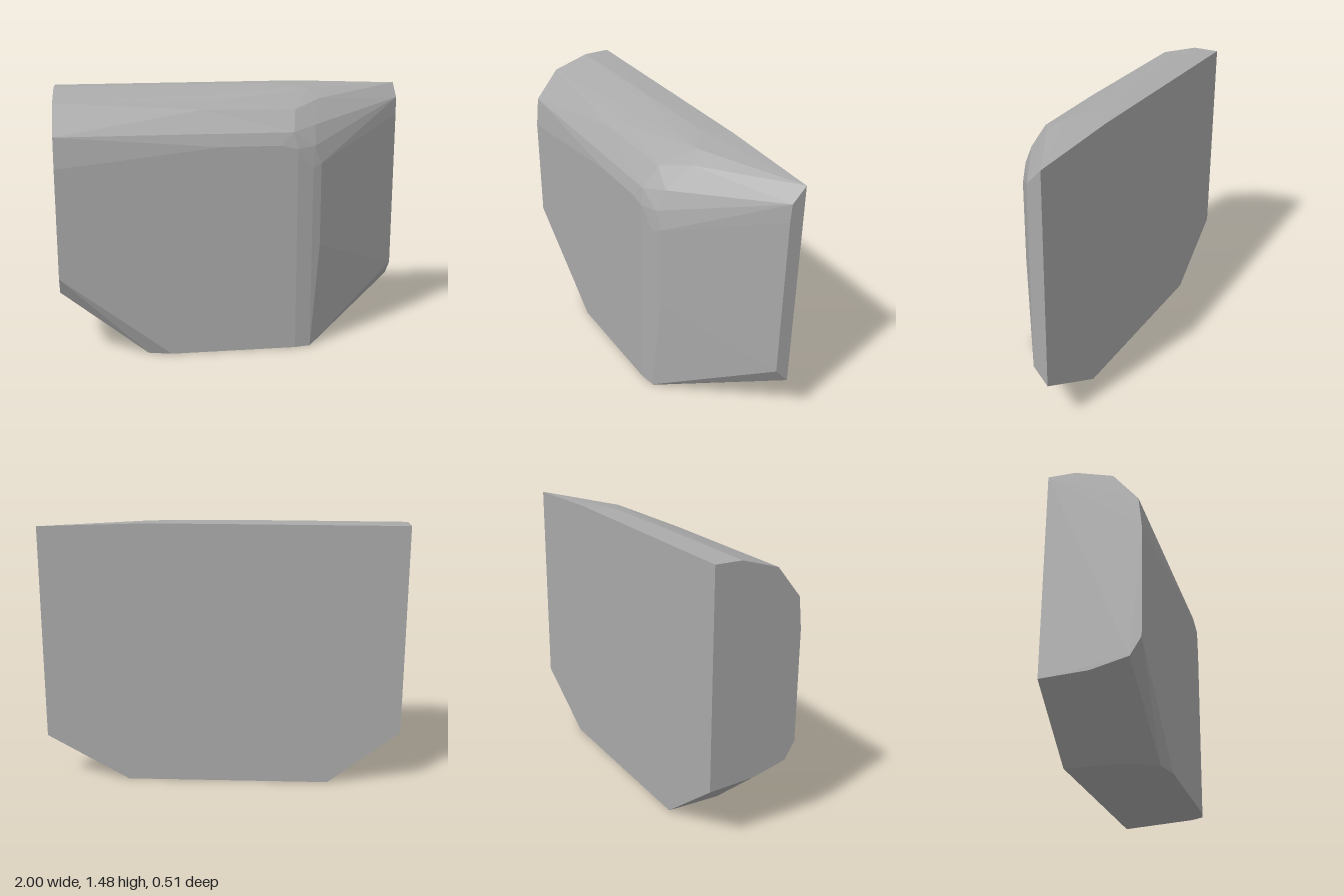
import * as THREE from 'three';
import { ConvexGeometry } from 'three/addons/geometries/ConvexGeometry.js';

const BACK = -0.255;
const FRONT = 0.253;

export function createModel() {
  const stone = new THREE.MeshStandardMaterial({ color: 0xaaaaaa });
  stone.name = 'grey';

  // Flat left end: rounded at the upper and lower front
  const leftEnd = [
    [-1, 1.475, BACK], [-1, 1.475, -0.105], [-1, 1.415, 0.1], [-1, 1.25, 0.235],
    [-1, 1.08, FRONT], [-1, 0.47, FRONT], [-1, 0.375, 0.195], [-1, 0.325, 0], [-1, 0.31, BACK],
  ];

  // Flat underside
  const base = [
    [-0.6, 0, BACK], [-0.6, 0, 0.05], [-0.52, 0, 0.22], [-0.39, 0, FRONT],
    [0.32, 0, FRONT], [0.41, 0, 0.238], [0.45, 0, 0.17], [0.54, 0, BACK],
  ];

  // Rounded shoulder between the front, the top and the slanted right side
  const shoulder = [
    [0.4, 1.48, BACK], [0.25, 1.48, -0.125], [-0.3, 1.48, -0.115], [0.42, 1.46, -0.02],
    [-0.07, 1.415, 0.1], [0.48, 1.41, 0.045], [-0.2, 1.37, 0.155], [0.32, 1.365, 0.155],
    [0.43, 1.28, 0.175], [0.3, 1.25, 0.235], [0.22, 1.18, FRONT], [-0.1, 1.18, FRONT],
    [0.32, 1.16, FRONT], [0.42, 1.17, 0.225], [0.41, 1.05, 0.238],
    [0.46, 1.07, 0.22], [0.46, 0.6, 0.22],
  ];

  // Narrow right end
  const rightEnd = [
    [1, 1.46, BACK], [1, 1.38, -0.18], [1, 1.28, -0.175], [1, 0.355, -0.175], [1, 0.26, BACK],
  ];

  // The block is the faceted convex solid spanned by these outlines
  const points = [...leftEnd, ...base, ...shoulder, ...rightEnd].map((p) => new THREE.Vector3(...p));
  const block = new THREE.Mesh(new ConvexGeometry(points), stone);
  block.name = 'facetedBlock';

  const group = new THREE.Group();
  group.name = 'stoneBlock';
  group.add(block);
  return group;
}
